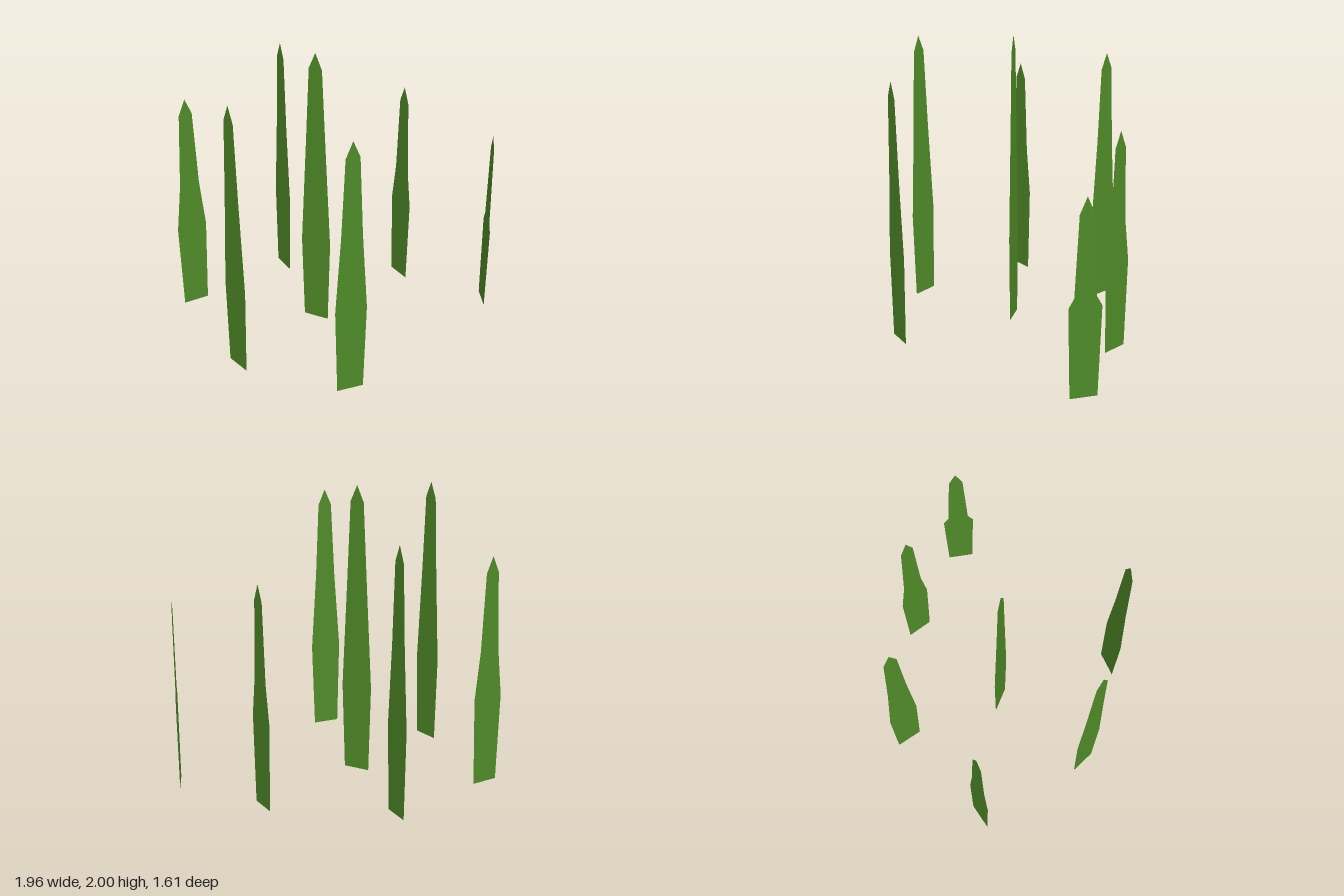
import * as THREE from 'three';

// Flat pointed blade: the base is fixed, the tapering tip slides up with the height.
function bladeGeometry(height) {
  const half = [
    [0.09, 0],
    [0.107, 0.61],
    [0.071, height - 0.64],
    [0.047, height - 0.11],
  ];
  const outline = [
    ...half,
    [0, height],
    ...half.map(([x, y]) => [-x, y]).reverse(),
  ];
  return new THREE.ShapeGeometry(new THREE.Shape(outline.map(([x, y]) => new THREE.Vector2(x, y))));
}

export function createModel() {
  const group = new THREE.Group();
  group.name = 'grassPatch';
  const green = new THREE.MeshStandardMaterial({ color: 0x4f8a28, side: THREE.DoubleSide });

  // x, z, height, turn in degrees
  const blades = [
    [-0.92, 0.225, 1.585, 56],
    [-0.575, -0.48, 1.79, -33.5],
    [-0.265, 0.765, 1.9, -24],
    [-0.05, 0.03, 2.0, 0],
    [0.25, -0.75, 1.51, -31],
    [0.51, 0.665, 1.79, 47],
    [0.925, -0.695, 1.315, -59],
  ];
  blades.forEach(([x, z, height, turn], i) => {
    const blade = new THREE.Mesh(bladeGeometry(height), green);
    blade.name = `grassBlade${i + 1}`;
    blade.position.set(x, 0, z);
    blade.rotation.y = THREE.MathUtils.degToRad(turn);
    group.add(blade);
  });
  return group;
}
